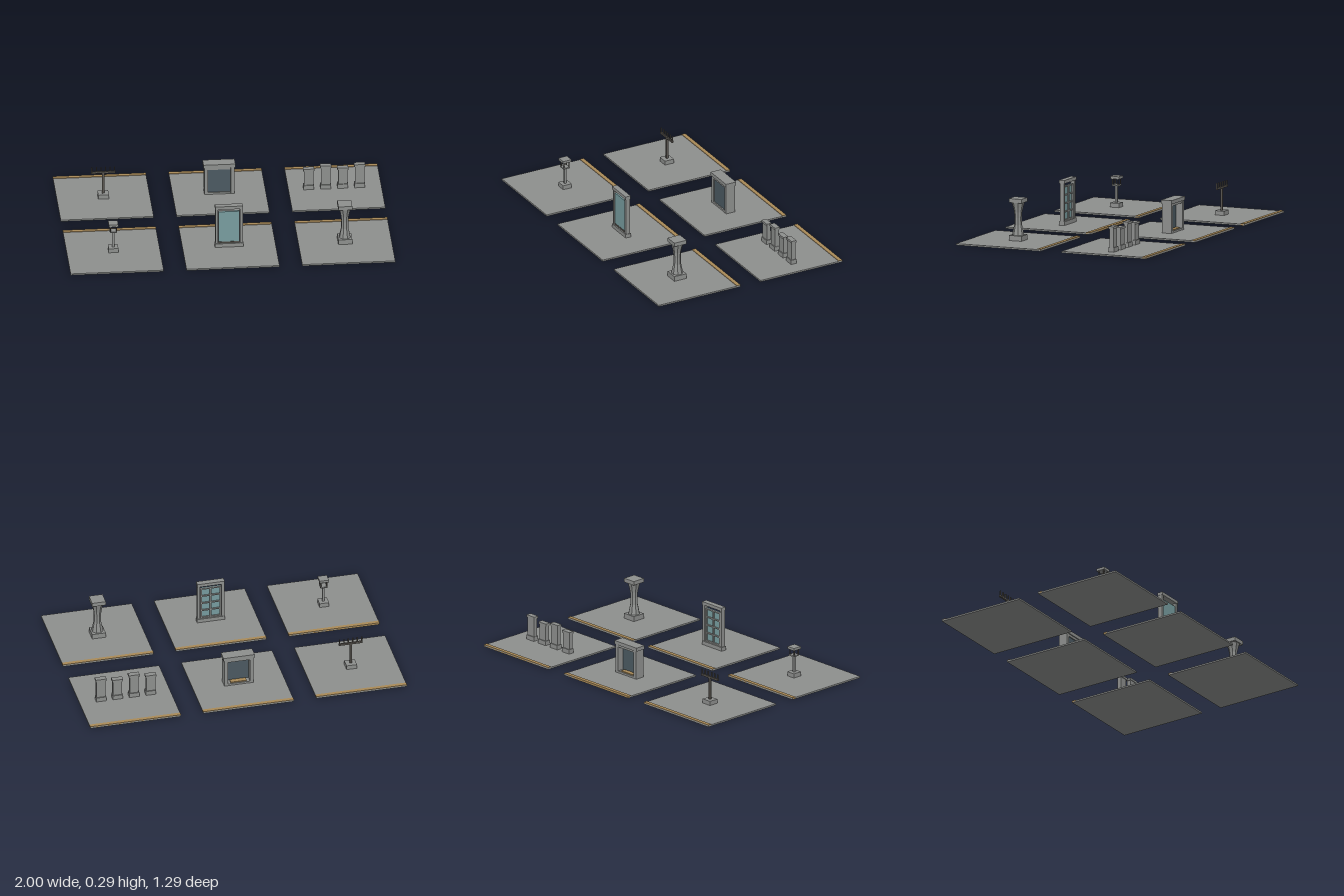
import * as THREE from 'three';

const mat = (name, color) => {
  const m = new THREE.MeshStandardMaterial({ color });
  m.name = name;
  return m;
};

export function createModel() {
  const stone = mat('stone grey', 0x8e908e);
  const tan = mat('tan wood', 0xa98a58);
  const dark = mat('dark timber', 0x5a5650);
  const glass = mat('teal glass', 0x789da0);
  const slate = mat('slate pane', 0x4c5a62);
  const model = new THREE.Group();
  const GROUND = 0.01;

  // Box given by centre x and z, size, and its bottom and top heights
  const box = (parent, name, material, x, z, w, d, y0, y1) => {
    const m = new THREE.Mesh(new THREE.BoxGeometry(w, y1 - y0, d), material);
    m.name = name;
    m.position.set(x, (y0 + y1) / 2, z);
    parent.add(m);
    return m;
  };
  const group = (name, x, z) => {
    const g = new THREE.Group();
    g.name = name;
    g.position.set(x, 0, z);
    model.add(g);
    return g;
  };

  // Six ground tiles, each with a raised strip on the back edge
  const S = 0.573, PX = 0.7135, PZ = 0.3565;
  for (const x of [-PX, 0, PX]) {
    for (const z of [-PZ, PZ]) {
      const g = group('groundTile', x, z);
      box(g, 'slab', stone, 0, 0, S, S, 0, GROUND);
      box(g, 'backStrip', tan, 0, -S / 2 + 0.0125, S, 0.025, 0.002, 0.0135);
    }
  }

  // Lantern on a post
  const lantern = group('lantern', -PX, PZ);
  box(lantern, 'base', stone, 0, 0, 0.06, 0.06, GROUND, 0.037);
  box(lantern, 'post', stone, 0, 0, 0.014, 0.014, 0.037, 0.142);
  box(lantern, 'lampFloor', stone, 0, 0, 0.044, 0.044, 0.142, 0.15);
  for (const sx of [-1, 1]) {
    for (const sz of [-1, 1]) {
      box(lantern, 'lampCorner', dark, sx * 0.018, sz * 0.018, 0.006, 0.006, 0.15, 0.186);
    }
  }
  box(lantern, 'lampRoof', stone, 0, 0, 0.058, 0.058, 0.186, 0.202);

  // Post with a toothed crossbar
  const rack = group('toothedRack', -PX, -PZ);
  box(rack, 'base', stone, 0, 0, 0.066, 0.062, GROUND, 0.037);
  box(rack, 'post', dark, 0, 0, 0.013, 0.013, 0.037, 0.176);
  box(rack, 'crossbar', dark, 0, 0, 0.15, 0.012, 0.174, 0.185);
  for (let i = 0; i < 6; i++) {
    box(rack, 'tooth', dark, (i - 2.5) * 0.028, 0, 0.007, 0.007, 0.185, 0.215);
  }

  // Tall framed window
  const tall = group('tallWindow', 0, PZ - 0.002);
  box(tall, 'sill', stone, 0, 0, 0.176, 0.036, GROUND, 0.034);
  for (const s of [-1, 1]) box(tall, 'jamb', stone, s * 0.076, 0, 0.017, 0.028, 0.034, 0.27);
  box(tall, 'lintel', stone, 0, 0, 0.172, 0.036, 0.27, 0.29);
  box(tall, 'pane', glass, 0, 0.004, 0.128, 0.008, 0.034, 0.25);
  box(tall, 'bottomRail', dark, 0, 0.006, 0.128, 0.008, 0.034, 0.044);
  for (const s of [-1, 0, 1]) box(tall, 'upright', stone, s * 0.061, -0.004, 0.009, 0.01, 0.034, 0.25);
  for (let i = 0; i < 5; i++) {
    const y = 0.034 + i * 0.052;
    box(tall, 'glazingBar', stone, 0, -0.004, 0.13, 0.009, y, y + 0.008);
  }

  // Low deep window with a pane set near its front
  const low = group('lowWindow', 0, -0.36);
  for (const s of [-1, 1]) box(low, 'sidePier', stone, s * 0.081, 0, 0.022, 0.062, GROUND, 0.193);
  box(low, 'cap', stone, 0, 0, 0.197, 0.071, 0.193, 0.216);
  box(low, 'threshold', stone, 0, 0, 0.142, 0.06, GROUND, 0.022);
  box(low, 'header', stone, 0, 0, 0.142, 0.058, 0.178, 0.193);
  box(low, 'pane', slate, 0, 0.018, 0.142, 0.009, 0.022, 0.178);
  box(low, 'innerSill', tan, 0, -0.008, 0.1, 0.03, 0.022, 0.028);

  // Octagonal column with a flared shaft
  const column = group('column', PX, PZ);
  box(column, 'plinth', stone, 0, 0, 0.086, 0.086, GROUND, 0.042);
  const profile = [[0.034, 0.042], [0.028, 0.075], [0.022, 0.105], [0.021, 0.15],
    [0.023, 0.185], [0.029, 0.215], [0.037, 0.246]]
    .map(([r, y]) => new THREE.Vector2(r / Math.cos(Math.PI / 8), y));
  const shaftGeometry = new THREE.LatheGeometry(profile, 8, Math.PI / 8).toNonIndexed();
  shaftGeometry.computeVertexNormals();
  const shaft = new THREE.Mesh(shaftGeometry, stone);
  shaft.name = 'flaredShaft';
  column.add(shaft);
  box(column, 'capital', stone, 0, 0, 0.086, 0.086, 0.246, 0.271);

  // Row of four short pillars
  [[0.552, 0.15], [0.657, 0.168], [0.762, 0.15], [0.866, 0.168]].forEach(([x, top]) => {
    const g = group('shortPillar', x, -0.359);
    box(g, 'foot', stone, 0, 0, 0.064, 0.038, GROUND, 0.038);
    box(g, 'shaft', stone, 0, 0, 0.056, 0.026, 0.038, top - 0.014);
    box(g, 'cap', stone, 0, 0, 0.068, 0.034, top - 0.014, top);
  });

  return model;
}
